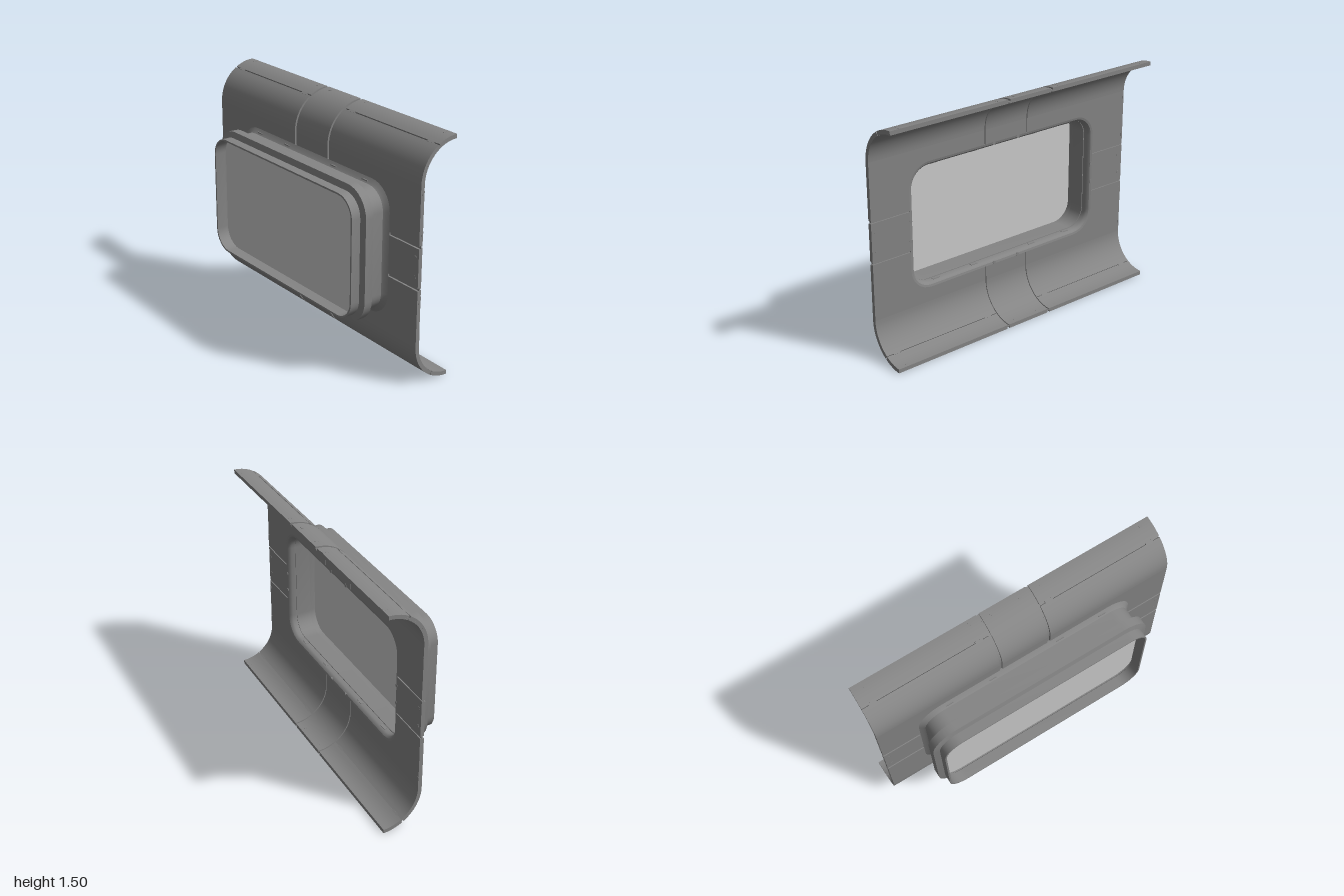
import * as THREE from 'three';
import { toCreasedNormals } from 'three/addons/utils/BufferGeometryUtils.js';

const MID = 0.75;      // height of the window centre
const R = 0.25;        // outer radius of the curled edges
const SEAM = 0.165;    // half width of the upright strap
const SIDE = 0.13;     // half height of the side straps
const HALF_Z = 0.70, HALF_Y = 0.377, CORNER = 0.12; // window opening
const FLARE = 0.03;    // wall cut-out is this much larger than the opening

export function createModel() {
  const group = new THREE.Group();
  const metal = new THREE.MeshStandardMaterial({ color: 0x858585 });
  const glass = new THREE.MeshStandardMaterial({ color: 0xcccccc, side: THREE.DoubleSide });
  const add = (geometry, name, material = metal) => {
    const mesh = new THREE.Mesh(geometry, material);
    mesh.name = name;
    group.add(mesh);
    return mesh;
  };

  // Flat plate in the z/y plane, between two depths measured from x = 0
  const plate = (points, x0, x1, name) => {
    const g = new THREE.ExtrudeGeometry(new THREE.Shape(points.map(p => new THREE.Vector2(...p))),
      { depth: x1 - x0, bevelEnabled: false });
    g.rotateY(-Math.PI / 2).translate(x1, 0, 0);
    add(toCreasedNormals(g, 0.5), name);
  };

  // Curled plate: a ring sector swept along z, sy = 1 for the top and -1 for the bottom
  const curl = (sy, a0, a1, t0, t1, z0, z1, name) => {
    const pts = [], n = Math.max(5, Math.round((a1 - a0) / 6));
    const point = (deg, r) => {
      const a = THREE.MathUtils.degToRad(deg);
      pts.push(new THREE.Vector2(R + r * Math.cos(a), MID + sy * (0.5 + r * Math.sin(a))));
    };
    for (let i = 0; i <= n; i++) point(a0 + (a1 - a0) * i / n, R - t0);
    for (let i = n; i >= 0; i--) point(a0 + (a1 - a0) * i / n, R - t1);
    const g = new THREE.ExtrudeGeometry(new THREE.Shape(pts), { depth: z1 - z0, bevelEnabled: false });
    add(toCreasedNormals(g.translate(0, 0, z0), 0.5), name);
  };

  // One layer of the wall between depths x0 and x1, seams cut back by g on each side
  const hz = HALF_Z + FLARE, hy = HALF_Y + FLARE, hr = CORNER + FLARE;
  const wall = (g, x0, x1, label) => {
    const sw = SEAM - g, sh = SIDE - g;
    for (const sy of [1, -1]) {
      for (const sz of [1, -1]) {
        // L-shaped flat corner panel around the rounded cut-out
        const pts = [[SEAM + g, 0.5], [1, 0.5], [1, SIDE + g], [hz, SIDE + g]];
        for (let i = 0; i <= 8; i++) {
          const a = i / 8 * Math.PI / 2;
          pts.push([hz - hr + hr * Math.cos(a), hy - hr + hr * Math.sin(a)]);
        }
        pts.push([SEAM + g, hy]);
        plate(pts.map(([z, y]) => [sz * z, MID + sy * y]), x0, x1, label + 'CornerPanel');
        // Curled panel and its separate edge strip
        const z0 = sz > 0 ? SEAM + g : -1, z1 = sz > 0 ? 1 : -SEAM - g;
        curl(sy, 121.5 + g * 120, 180, x0, x1, z0, z1, label + 'CurledPanel');
        curl(sy, 90, 121.5 - g * 120, x0, x1, z0, z1, label + 'EdgeStrip');
      }
      // Upright strap above and below the window
      plate([[-sw, hy], [sw, hy], [sw, 0.5], [-sw, 0.5]].map(([z, y]) => [z, MID + sy * y]),
        x0, x1, label + 'UprightStrap');
      curl(sy, 90, 180, x0, x1, -sw, sw, label + 'CurledStrap');
    }
    for (const s of [1, -1])
      plate([[s * hz, MID - sh], [s, MID - sh], [s, MID + sh], [s * hz, MID + sh]],
        x0, x1, label + 'SideStrap');
  };
  wall(0.009, 0, 0.012, 'outer');
  wall(0, 0.012, 0.018, 'core');
  wall(0.004, 0.018, 0.025, 'inner');

  // Rounded rectangle around the window, enlarged by o, as [z, y] points
  const ring = o => {
    const pts = [], r = CORNER + o;
    for (let q = 0; q < 4; q++) {
      const cz = (q === 0 || q === 3 ? 1 : -1) * (HALF_Z - CORNER);
      const cy = (q < 2 ? 1 : -1) * (HALF_Y - CORNER);
      for (let i = 0; i <= 8; i++) {
        const a = (q + i / 8) * Math.PI / 2;
        pts.push([cz + r * Math.cos(a), MID + cy + r * Math.sin(a)]);
      }
    }
    return pts;
  };

  // Window collar: closed cross-section [x, enlargement] carried round the ring
  const section = [
    [0.025, FLARE], [0.022, 0.016], [0.013, 0.006], [0, 0.001], [-0.024, 0],
    [-0.024, 0.005], [-0.03, 0.005], [-0.03, 0],
    [-0.13, 0], [-0.135, 0.012], [-0.175, 0.012], [-0.18, 0], [-0.25, 0],
    [-0.25, 0.011], [-0.19, 0.011], [-0.18, 0.05], [-0.126, 0.05], [-0.115, 0.011],
    [-0.025, 0.011], [-0.015, 0.02], [0, 0.042], [0.008, 0.042], [0.008, FLARE],
  ];
  const pos = [], index = [], rows = section.length;
  section.forEach(([x, o]) => ring(o).forEach(([z, y]) => pos.push(x, y, z)));
  const cols = pos.length / 3 / rows;
  for (let u = 0; u < rows; u++) {
    for (let v = 0; v < cols; v++) {
      const u2 = (u + 1) % rows, v2 = (v + 1) % cols;
      const a = u * cols + v, b = u2 * cols + v, c = u2 * cols + v2, d = u * cols + v2;
      index.push(a, b, c, a, c, d);
    }
  }
  const collar = new THREE.BufferGeometry();
  collar.setAttribute('position', new THREE.Float32BufferAttribute(pos, 3));
  collar.setIndex(index);
  add(toCreasedNormals(collar, 0.5), 'windowCollar');

  // Window pane seated in the collar groove
  const pane = new THREE.ShapeGeometry(new THREE.Shape(ring(0.006).map(p => new THREE.Vector2(...p))));
  add(pane.rotateY(-Math.PI / 2).translate(-0.168, 0, 0), 'windowPane', glass);

  // Clips and bolts
  const clip = (w, h, d, x, y, z, turn = 0) => {
    const m = add(new THREE.BoxGeometry(w, h, d), 'clip');
    m.position.set(x, y, z);
    m.rotation.z = turn;
  };
  const bolt = (x, y, z, turn = 0) => {
    const m = add(new THREE.CylinderGeometry(0.012, 0.012, 0.028, 8).rotateZ(Math.PI / 2), 'bolt');
    m.position.set(x, y, z);
    m.rotation.z = turn;
  };
  // Position and turn of a fitting on the curled edge
  const onCurl = (deg, sy) => {
    const a = THREE.MathUtils.degToRad(deg), r = R - 0.0125;
    return [R + r * Math.cos(a), MID + sy * (0.5 + r * Math.sin(a)), sy * a];
  };
  for (const sy of [1, -1]) {
    for (const sz of [1, -1]) {
      for (const y of [0.2, 0.44]) clip(0.014, 0.05, 0.012, 0.019, MID + sy * y, sz * 0.9945);
      for (const z of [0.235, 0.53]) clip(0.018, 0.028, 0.05, -0.008, MID + sy * 0.389, sz * z);
      for (const z of [0.235, 0.93]) {
        const [x, y, t] = onCurl(121.5, sy);
        clip(0.027, 0.014, 0.05, x, y, sz * z, t);
        const [x2, y2, t2] = onCurl(94.5, sy);
        clip(0.026, 0.036, 0.016, x2, y2, sz * z, t2);
      }
      for (const z of [0.725, 0.97]) bolt(0.0125, MID + sy * 0.062, sz * z);
      bolt(0.0125, MID + sy * 0.4, sz * 0.095);
      const [x, y, t] = onCurl(98.5, sy);
      bolt(x, y, sz * 0.095, t);
    }
  }
  return group;
}
